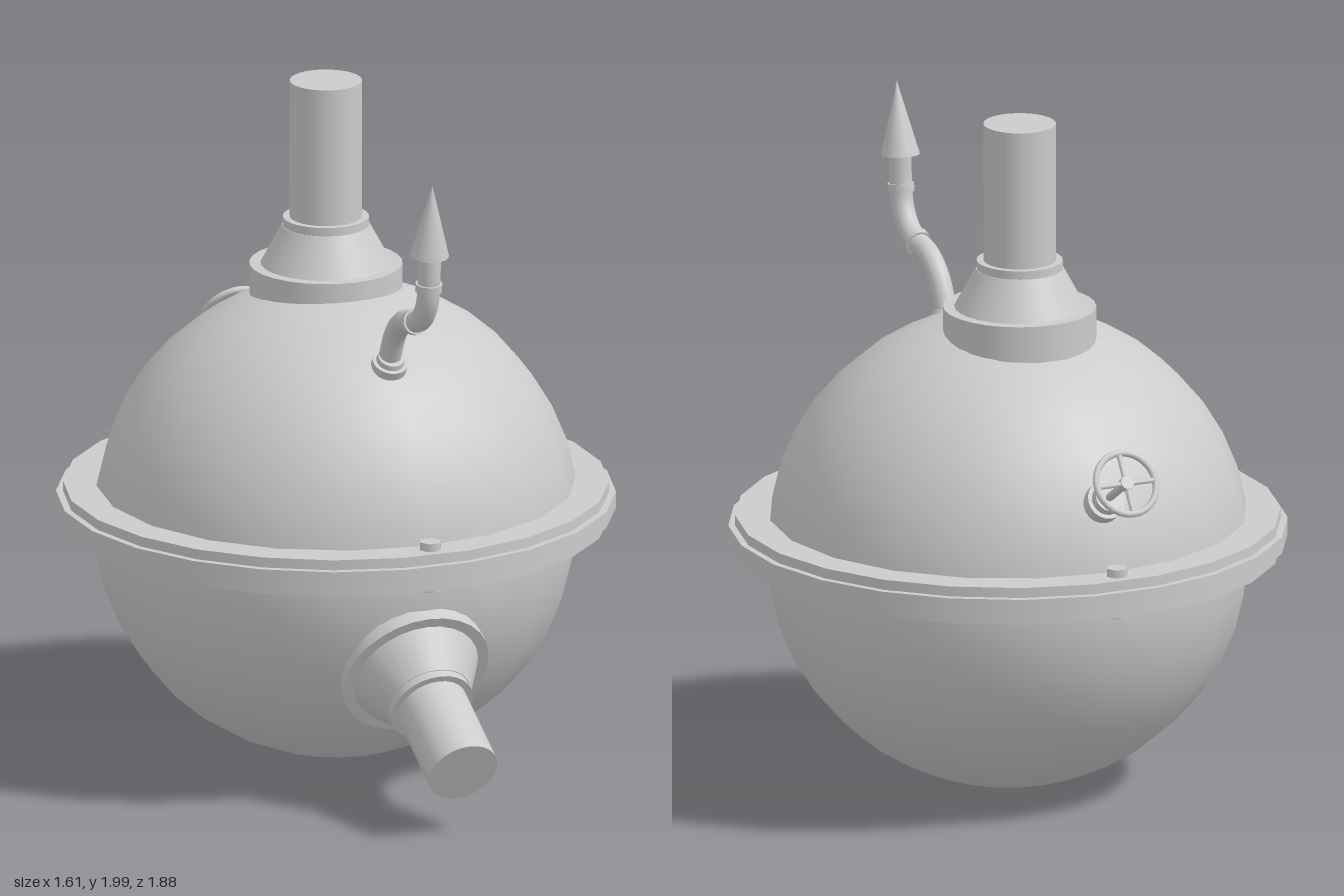
import * as THREE from 'three';

const material = new THREE.MeshStandardMaterial({ color: 0xcccccc });
const CENTRE_Z = -0.09;
const UP = new THREE.Vector3(0, 1, 0);

function add(parent, name, geometry, x = 0, y = 0, z = 0) {
  const mesh = new THREE.Mesh(geometry, material);
  mesh.name = name;
  mesh.position.set(x, y, z);
  parent.add(mesh);
  return mesh;
}

// Cylinder or cone spanning y0..y1 on its parent's own axis
function drum(parent, name, rBottom, rTop, y0, y1, sides = 28) {
  return add(parent, name, new THREE.CylinderGeometry(rTop, rBottom, y1 - y0, sides), 0, (y0 + y1) / 2, 0);
}

// Group whose local y axis points along (0, dirY, dirZ)
function axisGroup(parent, name, y, z, dirY, dirZ) {
  const group = new THREE.Group();
  group.name = name;
  group.position.set(0, y, z);
  group.quaternion.setFromUnitVectors(UP, new THREE.Vector3(0, dirY, dirZ).normalize());
  parent.add(group);
  return group;
}

// Flanged nozzle: base ring, cone, collar, then pipe; origin at the top of the base ring
function nozzle(parent, name, y, z, dirY, dirZ, length, ringDepth) {
  const g = axisGroup(parent, name, y, z, dirY, dirZ);
  drum(g, 'baseRing', 0.222, 0.222, -ringDepth, 0);
  drum(g, 'reducerCone', 0.195, 0.127, -0.01, 0.115);
  drum(g, 'collar', 0.125, 0.125, 0.115, 0.14);
  drum(g, 'pipe', 0.105, 0.105, 0.1, length);
  return g;
}

export function createModel() {
  const model = new THREE.Group();
  model.name = 'sphericalTank';

  // Spherical vessel
  add(model, 'vessel', new THREE.SphereGeometry(0.702, 20, 20), 0, 0.708, CENTRE_Z);

  // Three-layer equatorial flange
  const flange = new THREE.Group();
  flange.name = 'flange';
  flange.position.z = CENTRE_Z;
  model.add(flange);
  for (const [name, r, y0, y1] of [
    ['lowerFlange', 0.79, 0.70, 0.732],
    ['gasket', 0.81, 0.732, 0.78],
    ['upperFlange', 0.79, 0.78, 0.81],
  ]) drum(flange, name, r, r, y0, y1, 24).rotation.y = Math.PI / 24;

  // Bolts through the flange, front and back
  for (const side of [1, -1]) {
    const bolt = new THREE.Group();
    bolt.name = side > 0 ? 'frontBolt' : 'backBolt';
    bolt.position.z = side * 0.73;
    flange.add(bolt);
    drum(bolt, 'boltHead', 0.033, 0.033, 0.81, 0.834, 6).rotation.y = Math.PI / 6;
    drum(bolt, 'nut', 0.033, 0.033, 0.685, 0.70, 6).rotation.y = Math.PI / 6;
  }

  // Top and front nozzles
  nozzle(model, 'topNozzle', 1.45, -0.168, 1, 0, 0.55, 0.11);
  nozzle(model, 'frontNozzle', 0.402, 0.53, -0.475, 0.88, 0.412, 0.05);

  // Curved vent pipe
  const vent = new THREE.Group();
  vent.name = 'vent';
  model.add(vent);
  const path = new THREE.CatmullRomCurve3([
    [1.25, 0.305], [1.315, 0.332], [1.392, 0.375], [1.443, 0.44], [1.46, 0.51],
    [1.49, 0.575], [1.545, 0.615], [1.61, 0.628], [1.71, 0.633],
  ].map(([y, z]) => new THREE.Vector3(0, y, z)));
  add(vent, 'ventPipe', new THREE.TubeGeometry(path, 48, 0.033, 16));

  const ventFoot = axisGroup(vent, 'ventFoot', 1.283, 0.325, 0.86, 0.5);
  drum(ventFoot, 'footFlange', 0.053, 0.053, -0.03, 0.01, 20);
  drum(ventFoot, 'footNeck', 0.042, 0.038, 0.01, 0.025, 20);
  // Joint collars follow the pipe direction
  for (const t of [0.52, 0.82]) {
    const p = path.getPointAt(t), d = path.getTangentAt(t);
    drum(axisGroup(vent, 'ventJoint', p.y, p.z, d.y, d.z), 'jointCollar', 0.039, 0.039, -0.012, 0.012, 20);
  }
  const tip = axisGroup(vent, 'ventTip', 1.695, 0.631, 0.217, 0.024);
  add(tip, 'ventCone', new THREE.ConeGeometry(0.057, 0.218, 20), 0, 0.109, 0);

  // Handwheel valve on the back
  const valve = axisGroup(model, 'valve', 1.013, -0.74, 0.538, -0.843);
  drum(valve, 'valveFlange', 0.058, 0.058, -0.05, 0.012, 20);
  drum(valve, 'valveBonnet', 0.046, 0.042, 0.012, 0.035, 20);
  drum(valve, 'stem', 0.012, 0.012, 0.03, 0.175, 12);
  drum(valve, 'hub', 0.02, 0.02, 0.154, 0.178, 16);
  const rim = add(valve, 'wheelRim', new THREE.TorusGeometry(0.093, 0.01, 10, 28), 0, 0.166, 0);
  rim.rotation.x = Math.PI / 2;
  for (const turn of [0, Math.PI / 2]) {
    const spoke = add(valve, 'wheelSpoke', new THREE.CylinderGeometry(0.008, 0.008, 0.186, 8), 0, 0.166, 0);
    spoke.rotation.set(turn, 0, turn ? 0 : Math.PI / 2);
  }

  return model;
}
